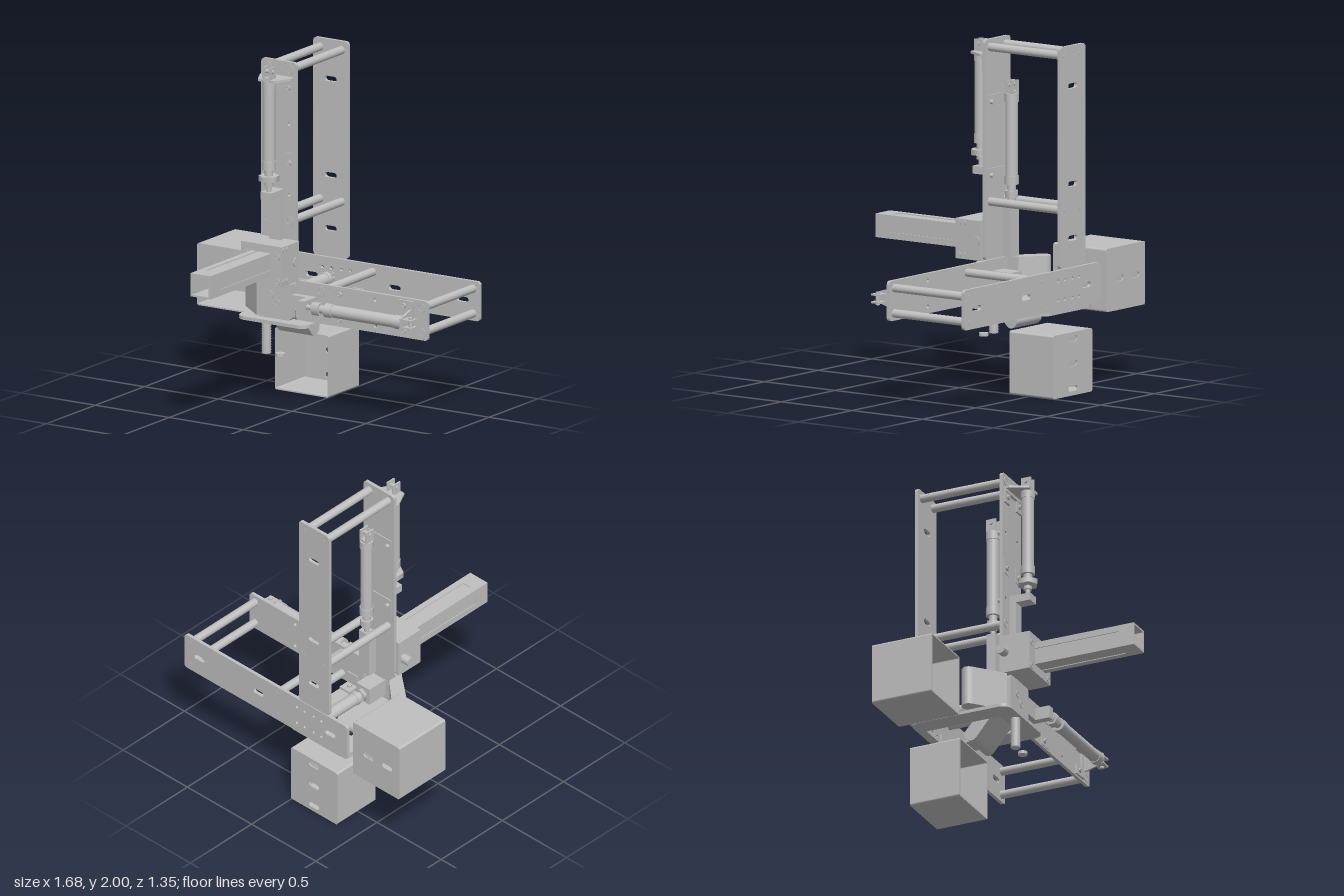
import * as THREE from 'three';

const steel = new THREE.MeshStandardMaterial({ color: 0xbfbfbf });
steel.name = 'plain steel grey';

function add(parent, name, geo, x = 0, y = 0, z = 0) {
  const m = new THREE.Mesh(geo, steel);
  m.name = name;
  m.position.set(x, y, z);
  parent.add(m);
  return m;
}

function group(parent, name, x, y, z) {
  const g = new THREE.Group();
  g.name = name;
  g.position.set(x, y, z);
  parent.add(g);
  return g;
}

// box given by its min and max on each axis
function block(parent, name, x0, x1, y0, y1, z0, z1) {
  return add(parent, name, new THREE.BoxGeometry(x1 - x0, y1 - y0, z1 - z0), (x0 + x1) / 2, (y0 + y1) / 2, (z0 + z1) / 2);
}

// round bar along an axis
function bar(parent, name, axis, r, len, x, y, z, sides = 24) {
  const g = new THREE.CylinderGeometry(r, r, len, sides);
  if (axis === 'x') g.rotateZ(Math.PI / 2);
  if (axis === 'z') g.rotateX(Math.PI / 2);
  return add(parent, name, g, x, y, z);
}

// rounded rectangle outline, used for plates, slots and round holes
function roundRect(Type, x0, x1, y0, y1, r) {
  const s = new Type();
  s.absarc(x1 - r, y0 + r, r, -Math.PI / 2, 0);
  s.absarc(x1 - r, y1 - r, r, 0, Math.PI / 2);
  s.absarc(x0 + r, y1 - r, r, Math.PI / 2, Math.PI);
  s.absarc(x0 + r, y0 + r, r, Math.PI, Math.PI * 1.5);
  s.closePath();
  return s;
}

// holes are [centre x, centre y, width, height, optional corner radius]
function plateGeo(x0, x1, y0, y1, t, r, holes = []) {
  const s = roundRect(THREE.Shape, x0, x1, y0, y1, r);
  for (const [x, y, w, h, c = Math.min(w, h) / 2 - 0.0005] of holes)
    s.holes.push(roundRect(THREE.Path, x - w / 2, x + w / 2, y - h / 2, y + h / 2, c));
  return new THREE.ExtrudeGeometry(s, { depth: t, bevelEnabled: false, curveSegments: 6 });
}

// socket screw head facing +z: ring with a recess
function screw(parent, x, y, z, r, h) {
  const pts = [[r, 0], [r, h], [r * 0.5, h], [r * 0.5, h * 0.4], [0, h * 0.4]].map(p => new THREE.Vector2(...p));
  const g = new THREE.LatheGeometry(pts, 16).rotateX(Math.PI / 2).toNonIndexed();
  g.computeVertexNormals();
  add(parent, 'screw', g, x, y, z);
}

// air cylinder along y, body from 0 to 0.52, rod downwards, forked clevis on top
function airCylinder(parent, x, y, z, nutRadius, nutHeight) {
  const g = group(parent, 'airCylinder', x, y, z);
  bar(g, 'barrel', 'y', 0.036, 0.46, 0, 0.26, 0, 32);
  for (const c of [0.025, 0.495]) bar(g, 'endCap', 'y', 0.04, 0.05, 0, c, 0, 32);
  bar(g, 'neck', 'y', 0.024, 0.05, 0, -0.02, 0);
  bar(g, 'hexNut', 'y', nutRadius, nutHeight, 0, -0.036 - nutHeight / 2, 0, 6);
  bar(g, 'lockNut', 'y', 0.026, 0.02, 0, -0.085, 0, 6);
  bar(g, 'rod', 'y', 0.014, 0.14, 0, -0.08, 0, 16);
  for (const s of [-1, 1]) block(g, 'clevisEar', s * 0.022 - 0.005, s * 0.022 + 0.005, 0.52, 0.595, -0.03, 0.03);
  block(g, 'clevisBase', -0.027, 0.027, 0.515, 0.535, -0.03, 0.03);
  bar(g, 'clevisPin', 'x', 0.012, 0.075, 0, 0.57, 0, 12);
  return g;
}

// front-mounted actuator with its brackets and sliding arm, running along y
function actuator(parent, name, x, y, bracketHalf, nutRadius, nutHeight) {
  const g = group(parent, name, x, y, 0);
  airCylinder(g, 0, 1.38, -0.022, nutRadius, nutHeight);
  const tip = bracketHalf * 0.5;
  const s = new THREE.Shape([[-bracketHalf, 0.115], [-bracketHalf, 0.09], [-tip, -0.012], [tip, -0.012],
    [bracketHalf, 0.09], [bracketHalf, 0.115]].map(p => new THREE.Vector2(...p)));
  const bracket = new THREE.ExtrudeGeometry(s, { depth: 0.014, bevelEnabled: false }).rotateX(-Math.PI / 2);
  add(g, 'endBracket', bracket, 0, 1.893, 0);
  block(g, 'bracketWall', -0.105, 0.105, 1.875, 1.907, -0.122, -0.106);
  for (const [y0, y1, front] of [[1.81, 1.88, -0.11], [1.37, 1.465, -0.118]])
    for (const sx of [-0.075, 0.075]) {
      block(g, 'bracketFoot', sx - 0.03, sx + 0.03, y0, y1, -0.122, front);
      screw(g, sx, y0 + 0.036, front, 0.014, 0.012);
    }
  block(g, 'armFoot', -0.037, 0.037, 1.205, 1.25, -0.12, 0.01);
  block(g, 'slidingArm', -0.037, 0.037, 0.96, 1.21, -0.12, -0.078);
  return g;
}

// open-fronted bin with slots in its back
function bin(parent, name, x0, y0, z0, z1, slots) {
  const g = group(parent, name, x0, y0, z0);
  const s = roundRect(THREE.Shape, 0, 0.362, 0, 0.362, 0.012);
  s.holes.push(roundRect(THREE.Path, 0.008, 0.354, 0.008, 0.354, 0.006));
  add(g, 'binWalls', new THREE.ExtrudeGeometry(s, { depth: z1 - z0, bevelEnabled: false, curveSegments: 4 }));
  add(g, 'binBack', plateGeo(0.004, 0.358, 0.004, 0.358, 0.008, 0.01, slots.map(([x, y]) => [x, y, 0.08, 0.032])));
}

// slanted chute with a rounded tip; profile is (outwards, backwards)
function chuteGeo() {
  const s = new THREE.Shape();
  s.moveTo(0, 0.09);
  s.lineTo(0, 0.19);
  s.lineTo(0.12, 0.3);
  s.quadraticCurveTo(0.15, 0.315, 0.172, 0.285);
  s.quadraticCurveTo(0.2, 0.255, 0.157, 0.22);
  s.closePath();
  return new THREE.ExtrudeGeometry(s, { depth: 0.23, bevelEnabled: false });
}

export function createModel() {
  const model = new THREE.Group();
  const cx = -0.172, cy = 0.615;

  // back plates with slots and rod holes
  const uprightHoles = [1.77, 1.21, 0.9].map(y => [cx, y, 0.08, 0.03]);
  const railHoles = [0.72, 0.26, -0.3].map(x => [x, cy, 0.08, 0.03]);
  for (const x of [-0.23, -0.17, -0.1, -0.04]) for (const y of [0.56, 0.67]) railHoles.push([x, y, 0.018, 0.018]);
  add(model, 'backUpright', plateGeo(-0.29, -0.055, 0.735, 2, 0.02, 0.02, uprightHoles), 0, 0, -0.672);
  add(model, 'backRail', plateGeo(-0.43, 0.836, 0.5, 0.73, 0.02, 0.02, railHoles), 0, 0, -0.672);

  // front plates with small holes
  const small = (x, y) => [x, y, 0.022, 0.022];
  add(model, 'frontUpright', plateGeo(-0.29, -0.055, 0.735, 1.993, 0.02, 0.02,
    [small(-0.25, 1.63), small(-0.1, 1.63), small(-0.25, 1.22), small(-0.1, 1.22)]), 0, 0, -0.142);
  add(model, 'frontRail', plateGeo(-0.055, 0.836, 0.5, 0.73, 0.02, 0.02,
    [small(0.48, 0.69), small(0.48, 0.54)]), 0, 0, -0.142);

  // spacer rods between plates, with flush screws at the front and ends at the back
  const rods = [];
  for (const y of [1.948, 1.065]) for (const x of [-0.246, -0.1]) rods.push([x, y]);
  for (const x of [0.112, 0.79]) for (const y of [0.687, 0.542]) rods.push([x, y]);
  for (const [x, y] of rods) {
    bar(model, 'spacerRod', 'z', 0.024, 0.512, x, y, -0.397);
    screw(model, x, y, -0.123, 0.03, 0.004);
    bar(model, 'rodEnd', 'z', 0.014, 0.004, x, y, -0.672, 16);
  }

  // two front actuators, the second one laid along x
  actuator(model, 'uprightActuator', cx, 0, 0.105, 0.06, 0.032);
  actuator(model, 'sideActuator', -1.163, cy, 0.06, 0.04, 0.05).rotation.z = -Math.PI / 2;

  // rear upright cylinder with gate bar and mounting pads
  airCylinder(model, cx, 1.165, -0.24, 0.04, 0.04);
  block(model, 'gateBar', cx - 0.04, cx + 0.04, 0.755, 1.04, -0.262, -0.205);
  for (const y of [1.21, 1.63]) {
    block(model, 'rearPad', cx - 0.105, cx + 0.105, y - 0.045, y + 0.045, -0.148, -0.142);
    for (const x of [-0.25, -0.1]) bar(model, 'padScrew', 'z', 0.013, 0.024, x, y + 0.005, -0.156, 12);
  }

  // lower cylinder running to the back, with pusher
  const low = airCylinder(model, cx, cy, -0.32, 0.04, 0.04);
  low.rotation.x = -Math.PI / 2;
  low.scale.y = 0.56;
  block(model, 'pusher', cx - 0.05, cx + 0.05, 0.56, 0.665, -0.27, -0.14);

  // guide block holding the feed tube
  add(model, 'guideBlock', plateGeo(-0.31, -0.035, 0.73, 0.96, 0.178, 0.002,
    [[-0.1735, 0.8475, 0.135, 0.135, 0.001]]), 0, 0, -0.123);
  for (const x of [-0.28, -0.064]) for (const y of [0.755, 0.9]) screw(model, x, y, 0.053, 0.02, 0.006);
  for (const z of [0.03, -0.005]) for (const y of [0.755, 0.938]) bar(model, 'sideScrew', 'x', 0.015, 0.01, -0.036, y, z, 16);
  bar(model, 'sidePivot', 'x', 0.028, 0.012, -0.036, 0.845, -0.09);
  bar(model, 'knobStem', 'x', 0.015, 0.06, -0.32, 0.85, -0.095);
  bar(model, 'knob', 'x', 0.028, 0.055, -0.352, 0.85, -0.095, 18);

  // square feed tube with a shallow long groove in each wall
  const tube = group(model, 'feedTube', -0.1735, 0.8475, 0);
  tube.rotation.y = -Math.PI / 2;
  for (let i = 0; i < 4; i++) {
    const wall = group(tube, 'tubeWall', 0, 0, 0);
    wall.rotation.x = i * Math.PI / 2;
    add(wall, 'groovedSkin', plateGeo(-0.12, 0.675, -0.0675, 0.0675, 0.005, 0.001, [[0.304, 0, 0.548, 0.06, 0.002]]), 0, 0, 0.0625);
    block(wall, 'innerSkin', -0.12, 0.675, -0.0625, 0.0625, 0.0565, 0.0625);
  }
  block(model, 'tubeBack', -0.24, -0.107, 0.782, 0.913, -0.123, -0.112);

  // stop pad under the guide
  add(model, 'stopPad', plateGeo(-0.288, -0.058, 0.5, 0.726, 0.048, 0.02), 0, 0, -0.122);
  for (const [x, y] of [[-0.198, 0.637], [-0.15, 0.593]]) screw(model, x, y, -0.074, 0.022, 0.004);

  // base shelf with rounded front corners and a drop opening
  const shelf = add(model, 'baseShelf', plateGeo(-0.408, 0.064, 0.033, 0.652, 0.02, 0.06,
    [[-0.173, 0.37, 0.23, 0.46, 0.01]]), 0, 0.475, 0);
  shelf.rotation.x = -Math.PI / 2;
  for (const [x, z] of [[-0.37, -0.61], [0.025, -0.61], [0.025, -0.175]]) {
    block(model, 'cornerBracket', x - 0.038, x + 0.038, 0.495, 0.51, z - 0.04, z + 0.04);
    const back = z < -0.4 ? z - 0.04 : z + 0.026;
    block(model, 'cornerBracketWall', x - 0.038, x + 0.038, 0.495, 0.58, back, back + 0.014);
    bar(model, 'bracketScrew', 'y', 0.014, 0.015, x, 0.515, z, 12);
  }

  // ribbed adjusting screw below the shelf and its loose nut
  const ribs = [new THREE.Vector2(0, 0.29)];
  for (let i = 0; i <= 24; i++) ribs.push(new THREE.Vector2(i % 2 ? 0.029 : 0.024, 0.29 + i * 0.0077));
  add(model, 'adjustingScrew', new THREE.LatheGeometry(ribs, 20), -0.223, 0, -0.074);
  bar(model, 'looseNut', 'y', 0.028, 0.018, -0.13, 0.296, -0.074, 20);

  // bins and the chutes leading to them
  bin(model, 'sideBin', -0.842, 0.434, -0.675, -0.3, [[0.096, 0.181], [0.241, 0.181]]);
  bin(model, 'lowerBin', -0.355, 0, -0.672, -0.36, [[0.181, 0.04], [0.181, 0.183], [0.181, 0.325]]);
  const axis = (x, y, z) => new THREE.Vector3(x, y, z);
  const sideTurn = new THREE.Matrix4().makeBasis(axis(-1, 0, 0), axis(0, 0, -1), axis(0, -1, 0));
  const lowerTurn = new THREE.Matrix4().makeBasis(axis(0, -1, 0), axis(0, 0, -1), axis(1, 0, 0));
  add(model, 'sideChute', chuteGeo().applyMatrix4(sideTurn), -0.3, 0.728, 0);
  add(model, 'lowerChute', chuteGeo().applyMatrix4(lowerTurn), -0.287, 0.545, -0.06);
  return model;
}
